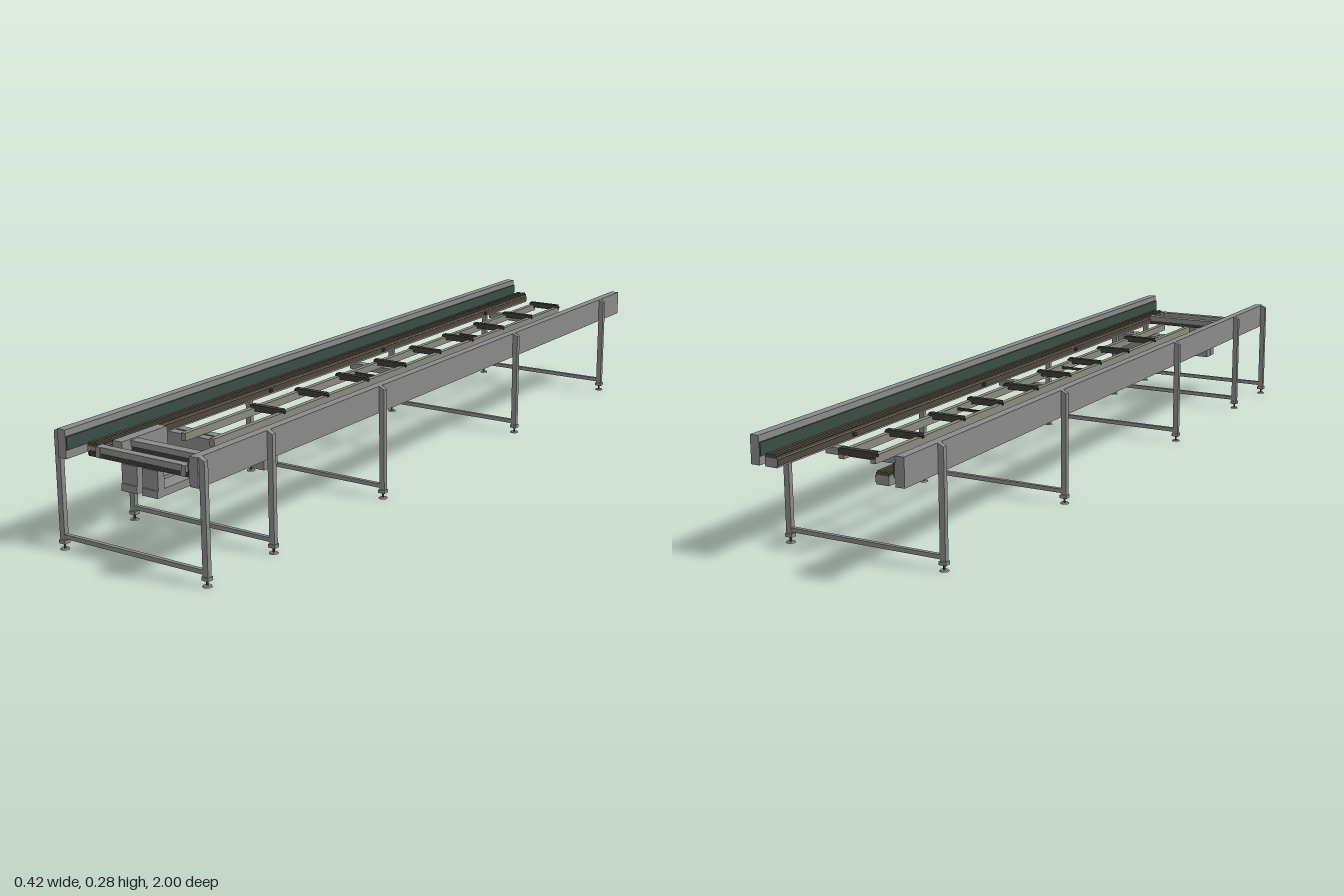
import * as THREE from 'three';

const mat = (name, color) => {
  const m = new THREE.MeshStandardMaterial({ color });
  m.name = name;
  return m;
};

export function createModel() {
  const root = new THREE.Group();
  root.name = 'conveyorFrame';
  const steel = mat('steelGrey', 0x8a8a8a);
  const lightSteel = mat('ladderGrey', 0x8b8981);
  const chainBrown = mat('chainBrown', 0x4f4840);
  const dark = mat('rungDark', 0x3d3b37);
  const green = mat('darkGreen', 0x3b4d45);

  // Box given by its low and high limits on each axis
  const box = (name, m, x0, x1, y0, y1, z0, z1, parent = root) => {
    const mesh = new THREE.Mesh(new THREE.BoxGeometry(x1 - x0, y1 - y0, z1 - z0), m);
    mesh.position.set((x0 + x1) / 2, (y0 + y1) / 2, (z0 + z1) / 2);
    mesh.name = name;
    parent.add(mesh);
    return mesh;
  };
  // Same box on both sides
  const pair = (name, m, x0, x1, ...rest) => {
    box(name + 'Left', m, x0, x1, ...rest);
    box(name + 'Right', m, -x1, -x0, ...rest);
  };

  // Long side guards with a dark liner on the inner face
  pair('sideGuard', steel, 0.17, 0.192, 0.212, 0.277, -1, 1);
  pair('guardLiner', green, 0.166, 0.17, 0.232, 0.262, -1, 1);

  // Carrier rails topped by a chain track
  pair('carrierRail', steel, 0.124, 0.155, 0.212, 0.232, -1, 0.95);
  pair('railWeb', chainBrown, 0.122, 0.124, 0.216, 0.23, -1, 0.95);
  pair('chainTrack', chainBrown, 0.124, 0.155, 0.232, 0.237, -1, 0.95);
  pair('chainStrand', chainBrown, 0.127, 0.136, 0.237, 0.241, -1, 0.95);
  pair('outerChainStrand', chainBrown, 0.143, 0.152, 0.237, 0.241, -1, 0.95);
  for (const z of [-0.73, -0.165, 0.345]) pair('railBolt', dark, 0.116, 0.124, 0.22, 0.227, z - 0.004, z + 0.004);

  // Leg frames: posts with bevelled tops, a tie bar and levelling feet
  const postShape = new THREE.Shape();
  [[0.192, 0.016], [0.206, 0.016], [0.206, 0.27], [0.192, 0.277]].forEach(([x, y], i) =>
    i ? postShape.lineTo(x, y) : postShape.moveTo(x, y));
  const postGeo = new THREE.ExtrudeGeometry(postShape, { depth: 0.012, bevelEnabled: false });
  postGeo.translate(0, 0, -0.006);
  const stemGeo = new THREE.CylinderGeometry(0.0025, 0.0025, 0.016, 8);
  const footGeo = new THREE.CylinderGeometry(0.009, 0.011, 0.003, 16);
  for (const z of [0.99, 0.765, 0.33, -0.33, -0.87]) {
    const frame = new THREE.Group();
    frame.name = 'legFrame';
    frame.position.z = z;
    root.add(frame);
    box('tieBar', steel, -0.192, 0.192, 0.026, 0.036, -0.005, 0.005, frame);
    for (const s of [1, -1]) {
      const leg = new THREE.Group();
      leg.name = s > 0 ? 'leftLeg' : 'rightLeg';
      leg.rotation.y = s > 0 ? 0 : Math.PI;
      frame.add(leg);
      const post = new THREE.Mesh(postGeo, steel);
      post.name = 'post';
      const stem = new THREE.Mesh(stemGeo, dark);
      stem.name = 'footStem';
      stem.position.set(0.199, 0.009, 0);
      const foot = new THREE.Mesh(footGeo, steel);
      foot.name = 'footPad';
      foot.position.set(0.199, 0.0015, 0);
      leg.add(post, stem, foot);
      box('footSleeve', steel, 0.19, 0.208, 0.014, 0.022, -0.008, 0.008, leg);
    }
  }

  // Central ladder
  pair('ladderRail', lightSteel, 0.034, 0.047, 0.216, 0.234, -0.89, 0.77);
  for (let i = 0; i < 9; i++) {
    const z = -0.885 + i * 0.175;
    box('ladderRung', dark, -0.045, 0.045, 0.226, 0.241, z - 0.007, z + 0.007);
    box('rungAxle', dark, -0.05, 0.05, 0.231, 0.236, z - 0.003, z + 0.003);
  }
  for (const z of [-0.43, 0.1]) box('thinRod', dark, -0.045, 0.045, 0.224, 0.23, z - 0.0025, z + 0.0025);

  // Cross beams beneath the rails
  for (const z of [-0.8, -0.042]) box('crossBeam', steel, -0.14, 0.14, 0.197, 0.213, z - 0.011, z + 0.011);

  // Deep double beam under the drive end
  for (const z of [0.685, 0.712]) {
    box('driveBeam', steel, -0.145, 0.145, 0.167, 0.213, z - 0.011, z + 0.011);
  }
  box('driveBeamWeb', steel, -0.145, 0.145, 0.185, 0.211, 0.695, 0.703);

  // Drive end cross bars
  box('rearEndBar', steel, -0.125, 0.125, 0.223, 0.237, 0.858, 0.882);
  box('rearEndBarSeat', dark, -0.125, 0.125, 0.213, 0.223, 0.861, 0.879);
  box('frontEndBar', steel, -0.112, 0.115, 0.223, 0.237, 0.936, 0.956);
  box('frontEndBarSeat', dark, -0.145, 0.145, 0.213, 0.223, 0.94, 0.957);
  pair('endBracket', steel, 0.112, 0.124, 0.213, 0.237, 0.935, 0.958);

  // Hanging trays and the side drive box
  pair('trayFloor', steel, 0.007, 0.05, 0.153, 0.17, 0.76, 0.963);
  pair('trayFront', steel, 0.007, 0.05, 0.153, 0.213, 0.94, 0.96);
  box('driveBox', steel, -0.12, -0.093, 0.196, 0.24, 0.762, 0.91);

  return root;
}
